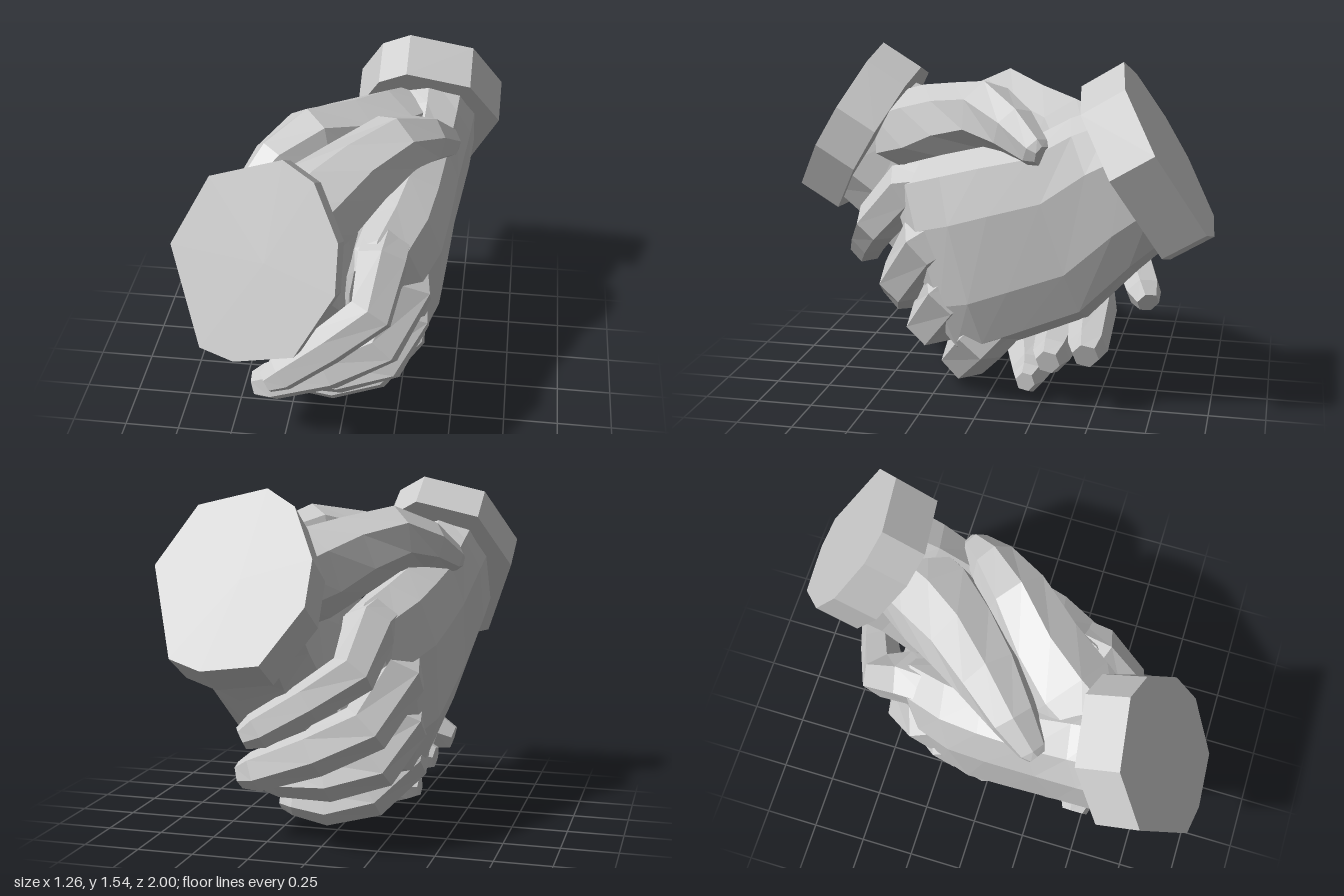
import * as THREE from 'three';

const material = new THREE.MeshStandardMaterial({ color: 0xcccccc, flatShading: true });
const V = (x, y, z) => new THREE.Vector3(x, y, z);

// Closed skin over a list of rings (equal point counts), with fan caps facing outwards
function loft(rings) {
  const n = rings[0].length, pts = rings.flat(), tris = [];
  for (let i = 0; i < rings.length - 1; i++) {
    for (let j = 0; j < n; j++) {
      const k = (j + 1) % n, a = i * n, b = a + n;
      tris.push([a + j, a + k, b + k], [a + j, b + k, b + j]);
    }
  }
  [0, rings.length - 1].forEach((r) => {
    const mid = rings[r].reduce((s, p) => s.add(p), V(0, 0, 0)).divideScalar(n);
    pts.push(mid);
    for (let j = 0; j < n; j++) {
      const a = r * n + j, b = r * n + (j + 1) % n;
      tris.push(r ? [pts.length - 1, a, b] : [pts.length - 1, b, a]);
    }
  });
  let volume = 0;
  tris.forEach(([a, b, c]) => { volume += pts[a].dot(pts[b].clone().cross(pts[c])); });
  const geo = new THREE.BufferGeometry().setFromPoints(pts);
  geo.setIndex(tris.flatMap(([a, b, c]) => (volume < 0 ? [a, c, b] : [a, b, c])));
  const flat = geo.toNonIndexed();
  flat.computeVertexNormals();
  return flat;
}

// Faceted limb along joints given as [x, y, z, radius]; the fixed vector is the hinge axis of the bends
function limb(joints, sides) {
  const p = joints.map(([x, y, z]) => V(x, y, z));
  const last = p.length - 1;
  return loft(joints.map(([, , , r], i) => {
    const dir = p[Math.min(i + 1, last)].clone().sub(p[Math.max(i - 1, 0)]).normalize();
    const side = V(0, 0.75, 0.66).cross(dir).normalize();
    const up = dir.clone().cross(side);
    return Array.from({ length: sides }, (_, j) => {
      const a = (j + 0.5) / sides * Math.PI * 2;
      return p[i].clone().addScaledVector(side, r * Math.cos(a)).addScaledVector(up, r * Math.sin(a));
    });
  }));
}

// Palm section from its top edge to its bottom edge, bulging outwards and inwards in x,
// with a fuller heel on the lower inside
function palmRing([top, bottom, out, inn]) {
  const c = V(...top).add(V(...bottom)).multiplyScalar(0.5);
  const u = V(...top).sub(c);
  const soft = (v) => Math.sign(v) * Math.abs(v) ** 0.8;
  return Array.from({ length: 10 }, (_, j) => {
    const a = j / 10 * Math.PI * 2, s = soft(Math.sin(a)), t = soft(Math.cos(a));
    const p = c.clone().addScaledVector(u, t);
    p.x += s * (s > 0 ? out : inn * (t < 0 ? 1.3 : 1));
    return p;
  });
}

function makeHand() {
  const hand = new THREE.Group();
  const add = (name, geo) => {
    const mesh = new THREE.Mesh(geo, material);
    mesh.name = name;
    hand.add(mesh);
  };

  // Sleeve cuff: a tilted polygon slab
  const outline = [[0.2, 1.55], [0.07, 1.48], [-0.04, 1.28], [-0.04, 1.1], [0.11, 0.88],
    [0.35, 0.85], [0.49, 0.89], [0.63, 1.24], [0.49, 1.48]];
  const outer = outline.map(([x, y]) => V(x, y, -1 + (y - 0.85) * 0.59));
  add('cuff', loft([outer, outer.map((p) => p.clone().add(V(0, -0.11, 0.18)))]));

  // Wrist, palm and row of knuckles
  add('palm', loft([
    [[0.3, 1.38, -0.54], [0.3, 0.82, -0.84], 0.23, 0.23],
    [[0.3, 1.32, -0.38], [0.3, 0.67, -0.68], 0.21, 0.22],
    [[0.29, 1.22, -0.2], [0.26, 0.43, -0.46], 0.19, 0.21],
    [[0.26, 1.17, 0.02], [0.23, 0.31, -0.2], 0.2, 0.21],
    [[0.22, 1.12, 0.2], [0.21, 0.23, -0.02], 0.21, 0.19],
    [[0.16, 1.06, 0.38], [0.19, 0.2, 0.1], 0.19, 0.16],
    [[0.14, 0.98, 0.45], [0.18, 0.24, 0.16], 0.12, 0.12],
  ].map(palmRing)));

  // Thumb, reaching over the other hand
  add('thumb', limb([[0.22, 1.12, -0.5, 0.2], [0.1, 1.17, -0.32, 0.21], [-0.04, 1.235, -0.16, 0.18],
    [-0.19, 1.3, 0, 0.15], [-0.32, 1.26, 0.14, 0.11], [-0.41, 1.19, 0.25, 0.07], [-0.43, 1.18, 0.28, 0.045]], 7));

  // Four fingers, curling around the far side
  const fingers = {
    indexFinger: [[0.2, 0.98, 0.2, 0.11], [0.18, 0.95, 0.38, 0.12], [0.15, 0.78, 0.53, 0.105],
      [-0.03, 0.66, 0.62, 0.09], [-0.22, 0.55, 0.7, 0.08], [-0.28, 0.52, 0.725, 0.05]],
    middleFinger: [[0.23, 0.85, 0.06, 0.13], [0.27, 0.72, 0.27, 0.135], [0.17, 0.52, 0.4, 0.12],
      [-0.05, 0.41, 0.455, 0.11], [-0.31, 0.31, 0.47, 0.09], [-0.38, 0.29, 0.47, 0.06]],
    ringFinger: [[0.24, 0.66, -0.02, 0.13], [0.26, 0.49, 0.17, 0.135], [0.18, 0.33, 0.27, 0.12],
      [-0.03, 0.26, 0.3, 0.11], [-0.26, 0.24, 0.3, 0.085], [-0.33, 0.23, 0.295, 0.055]],
    littleFinger: [[0.24, 0.5, -0.16, 0.12], [0.24, 0.29, 0.03, 0.13], [0.11, 0.15, 0.13, 0.115],
      [-0.08, 0.09, 0.175, 0.09], [-0.22, 0.11, 0.19, 0.07], [-0.28, 0.11, 0.185, 0.045]],
  };
  for (const [name, joints] of Object.entries(fingers)) add(name, limb(joints, 6));
  return hand;
}

export function createModel() {
  const model = new THREE.Group();
  model.name = 'handshake';
  // Two equal hands, half a turn apart
  ['leftHand', 'rightHand'].forEach((name, i) => {
    const hand = makeHand();
    hand.name = name;
    hand.rotation.y = i * Math.PI;
    model.add(hand);
  });
  return model;
}
